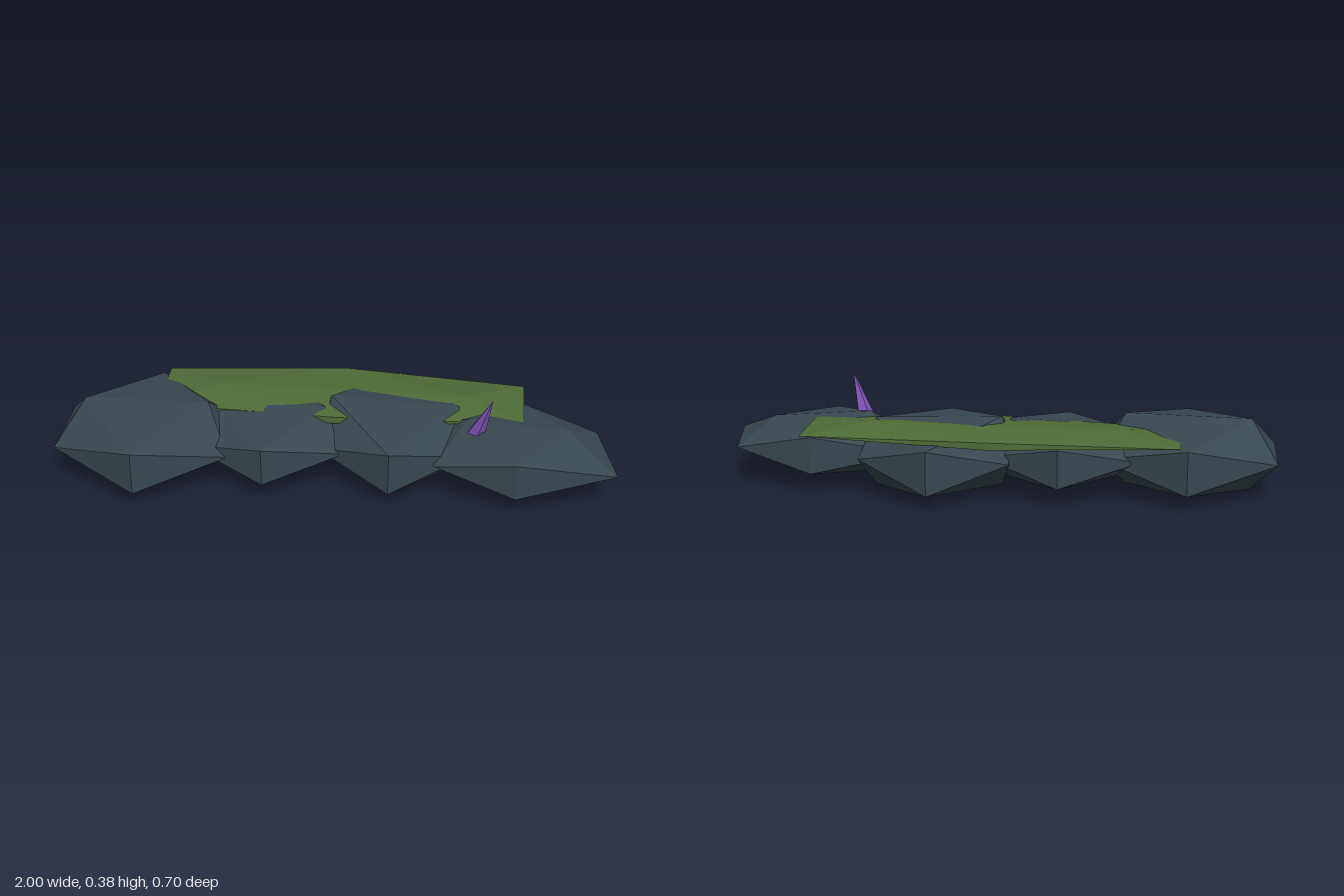
import * as THREE from 'three';

// Twenty-sided stone shaped by its half sizes:
// c = centre, h = half sizes, ridge = half length of the top edge in x,
// side = half length of the end edges in z, mid = half height of the front and back edges.
// skew leans the ends in plan, tilt lowers the +x end, taper thins the +x end.
function stoneGeometry({ c, h, ridge, side, mid, skew = 0, tilt = 0, taper = 0 }) {
  const geo = new THREE.IcosahedronGeometry(1, 0);
  const p = geo.attributes.position;
  for (let i = 0; i < p.count; i++) {
    const v = [p.getX(i), p.getY(i), p.getZ(i)];
    const s = v.map((n) => (Math.abs(n) < 0.01 ? 0 : Math.sign(n)));
    const big = v.findIndex((n) => Math.abs(n) > 0.7);
    let x = 0, y = 0, z = 0;
    if (big === 0) { // end corners
      x = s[0] * h[0] + s[2] * skew;
      z = s[2] * side;
    } else if (big === 1) { // top and bottom edges
      x = s[0] * ridge;
      y = s[1] * h[1] * (1 - taper * s[0]) - tilt * s[0];
    } else { // front and back edges
      y = s[1] * mid;
      z = s[2] * h[2];
    }
    p.setXYZ(i, c[0] + x, c[1] + y, c[2] + z);
  }
  geo.computeVertexNormals();
  return geo;
}

export function createModel() {
  const group = new THREE.Group();
  const material = (name, color) => {
    const m = new THREE.MeshStandardMaterial({ color, flatShading: true });
    m.name = name;
    return m;
  };
  const slate = material('slate', 0x39474f);
  const mossGreen = material('moss green', 0x506b37);
  const violet = material('crystal violet', 0x7a52b5);
  const add = (name, geo, mat) => {
    const mesh = new THREE.Mesh(geo, mat);
    mesh.name = name;
    group.add(mesh);
    return mesh;
  };

  // Row of four boulders
  const boulders = [
    { c: [-0.685, 0.133, 0.05], h: [0.315, 0.131, 0.298], ridge: 0.225, side: 0.15, mid: 0.08, tilt: -0.004 },
    { c: [-0.24, 0.137, 0], h: [0.28, 0.103, 0.265], ridge: 0.19, side: 0.14, mid: 0.07, taper: -0.09 },
    { c: [0.205, 0.13, -0.05], h: [0.27, 0.127, 0.302], ridge: 0.23, side: 0.15, mid: 0.08, tilt: 0.009 },
    { c: [0.65, 0.133, 0.035], h: [0.32, 0.1, 0.225], ridge: 0.18, side: 0.148, mid: 0.068, skew: 0.03, taper: 0.14 },
  ];
  boulders.forEach((b, i) => add(`boulder${i + 1}`, stoneGeometry(b), slate));

  // Flat moss patch along the back
  add('mossPatch', stoneGeometry({
    c: [0.005, 0.226, -0.125], h: [0.665, 0.024, 0.185], ridge: 0.45, side: 0.137, mid: 0.013,
  }), mossGreen);

  // Leaning crystal spike
  const base = new THREE.Vector3(0.502, 0.215, 0.077);
  const axis = new THREE.Vector3(0.555, 0.376, 0.119).sub(base);
  const cone = new THREE.ConeGeometry(0.033, axis.length(), 5);
  cone.translate(0, axis.length() / 2, 0);
  const spike = add('crystalSpike', cone, violet);
  spike.position.copy(base);
  spike.quaternion.setFromUnitVectors(new THREE.Vector3(0, 1, 0), axis.normalize());

  return group;
}
